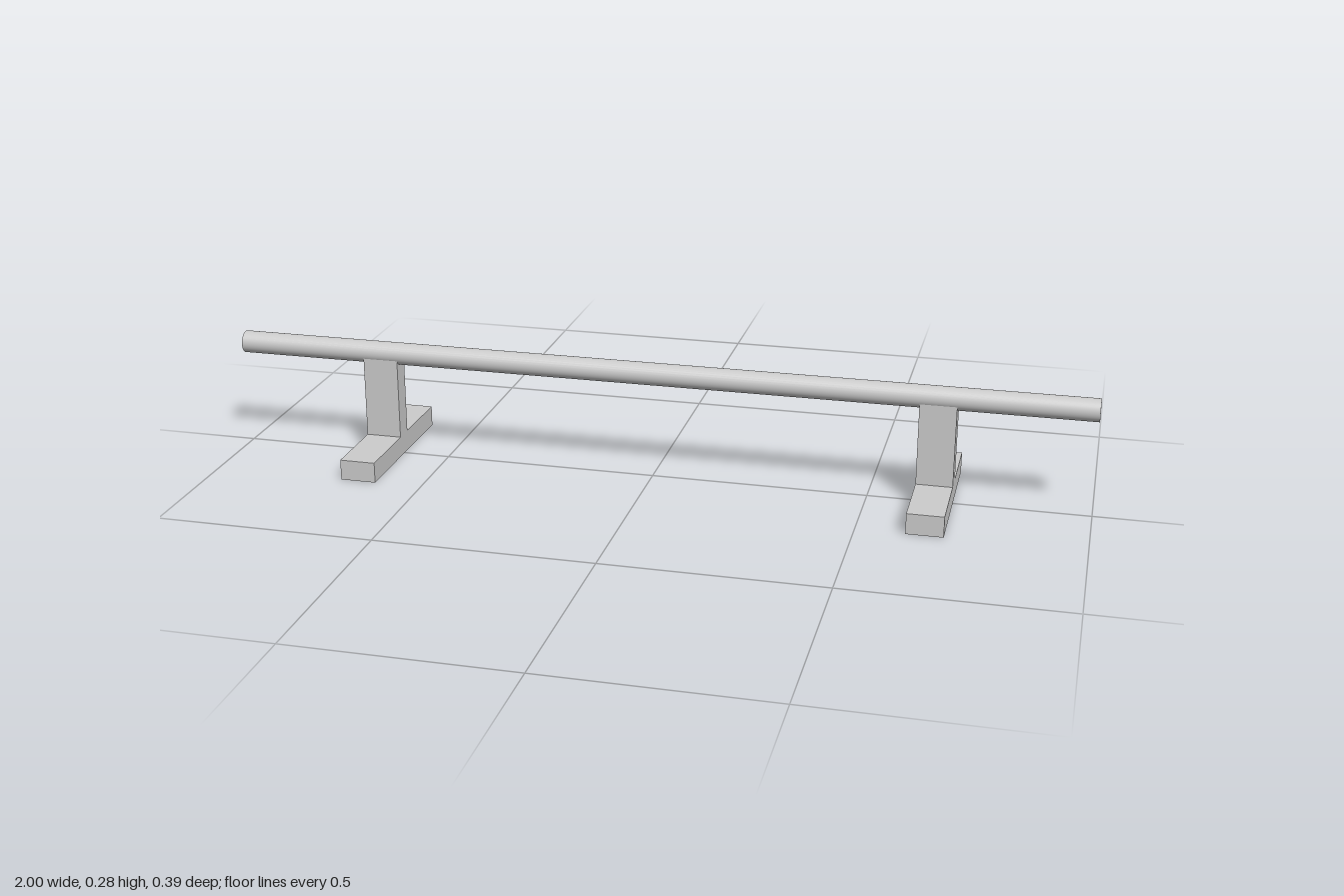
import * as THREE from 'three';

const RAIL_Y = 0.25, RAIL_R = 0.026;
const STAND_X = 0.652, STAND_W = 0.083;
const FOOT_HALF = 0.194, FOOT_H = 0.048, POST_HALF = 0.023;

// Inverted T: a flat foot and an upright post in one piece
function standGeometry() {
  const half = [[FOOT_HALF, 0], [FOOT_HALF, FOOT_H], [POST_HALF, FOOT_H], [POST_HALF, RAIL_Y]];
  const mirrored = half.map(([z, y]) => [-z, y]).reverse();
  const outline = [...half, ...mirrored].map(([z, y]) => new THREE.Vector2(z, y));
  const geometry = new THREE.ExtrudeGeometry(new THREE.Shape(outline), { depth: STAND_W, bevelEnabled: false });
  geometry.translate(0, 0, -STAND_W / 2);
  geometry.rotateY(Math.PI / 2); // extrude along x
  return geometry;
}

export function createModel() {
  const model = new THREE.Group();
  model.name = 'grindRail';
  const material = new THREE.MeshStandardMaterial({ color: 0xcccccc });

  // Round rail along x
  const railGeometry = new THREE.CylinderGeometry(RAIL_R, RAIL_R, 2, 32);
  railGeometry.rotateZ(Math.PI / 2);
  const rail = new THREE.Mesh(railGeometry, material);
  rail.name = 'rail';
  rail.position.y = RAIL_Y;
  model.add(rail);

  // Two matching stands
  const geometry = standGeometry();
  for (const [name, side] of [['leftStand', 1], ['rightStand', -1]]) {
    const stand = new THREE.Mesh(geometry, material);
    stand.name = name;
    stand.position.x = side * STAND_X;
    model.add(stand);
  }

  return model;
}
